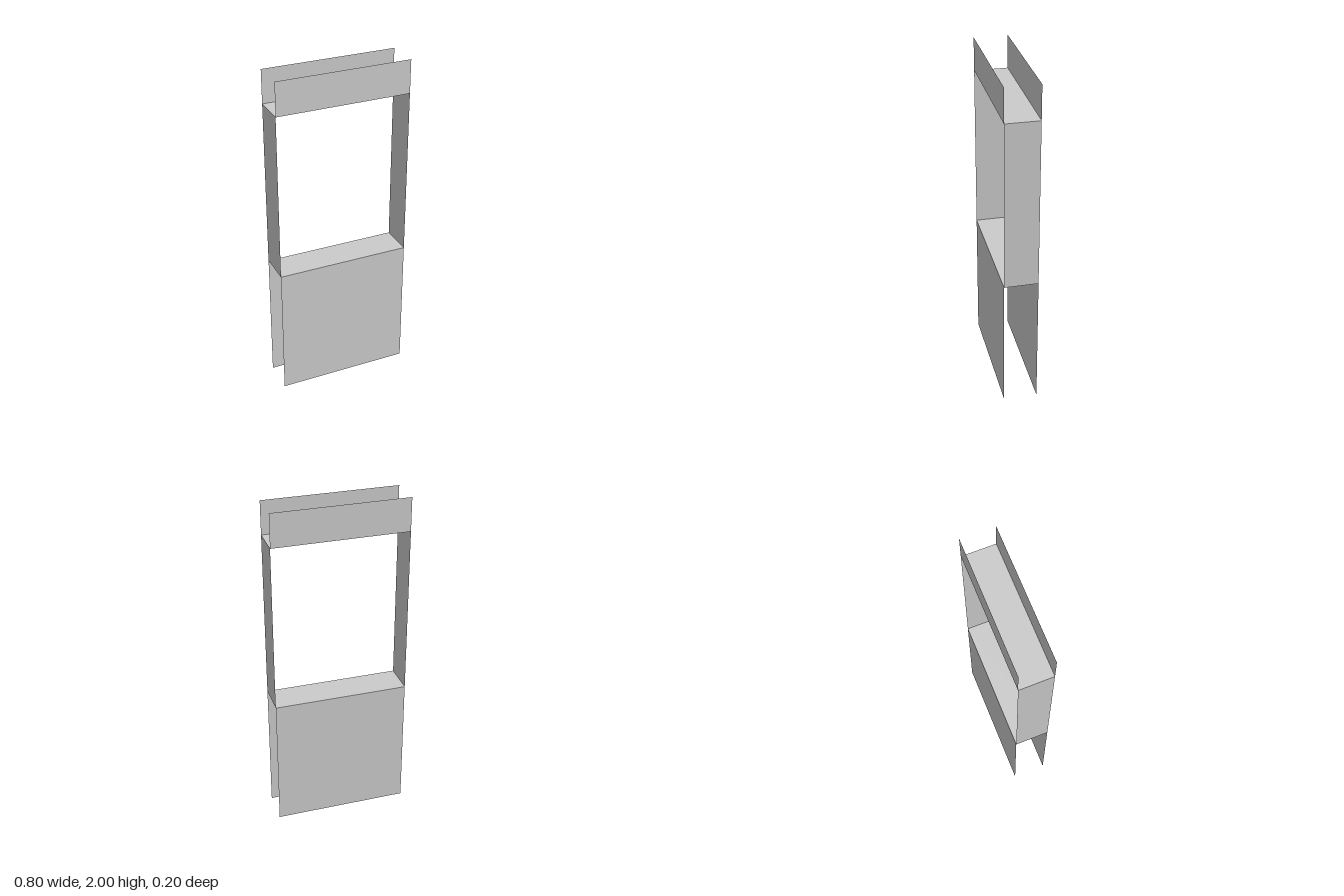
import * as THREE from 'three';

const WIDTH = 0.8, DEPTH = 0.2, SILL = 0.8, HEAD = 1.8, TOP = 2;

export function createModel() {
  const group = new THREE.Group();
  const material = new THREE.MeshStandardMaterial({ color: 0xcccccc, side: THREE.DoubleSide });

  const addSheet = (name, geometry, x, y, z) => {
    const mesh = new THREE.Mesh(geometry, material);
    mesh.name = name;
    mesh.position.set(x, y, z);
    group.add(mesh);
  };

  // Wall skins below and above the opening, on the front and back
  for (const [side, sign] of [['front', 1], ['back', -1]]) {
    for (const [part, low, high] of [['LowerPanel', 0, SILL], ['UpperPanel', HEAD, TOP]]) {
      const panel = new THREE.PlaneGeometry(WIDTH, high - low);
      if (sign < 0) panel.rotateY(Math.PI);
      addSheet(side + part, panel, 0, (low + high) / 2, sign * DEPTH / 2);
    }
  }

  // Opening lining: sill and head face into the opening
  addSheet('sill', new THREE.PlaneGeometry(WIDTH, DEPTH).rotateX(-Math.PI / 2), 0, SILL, 0);
  addSheet('head', new THREE.PlaneGeometry(WIDTH, DEPTH).rotateX(Math.PI / 2), 0, HEAD, 0);

  // Side jambs, mirrored
  for (const [side, sign] of [['left', 1], ['right', -1]]) {
    const jamb = new THREE.PlaneGeometry(DEPTH, HEAD - SILL).rotateY(-sign * Math.PI / 2);
    addSheet(side + 'Jamb', jamb, sign * WIDTH / 2, (SILL + HEAD) / 2, 0);
  }

  return group;
}
